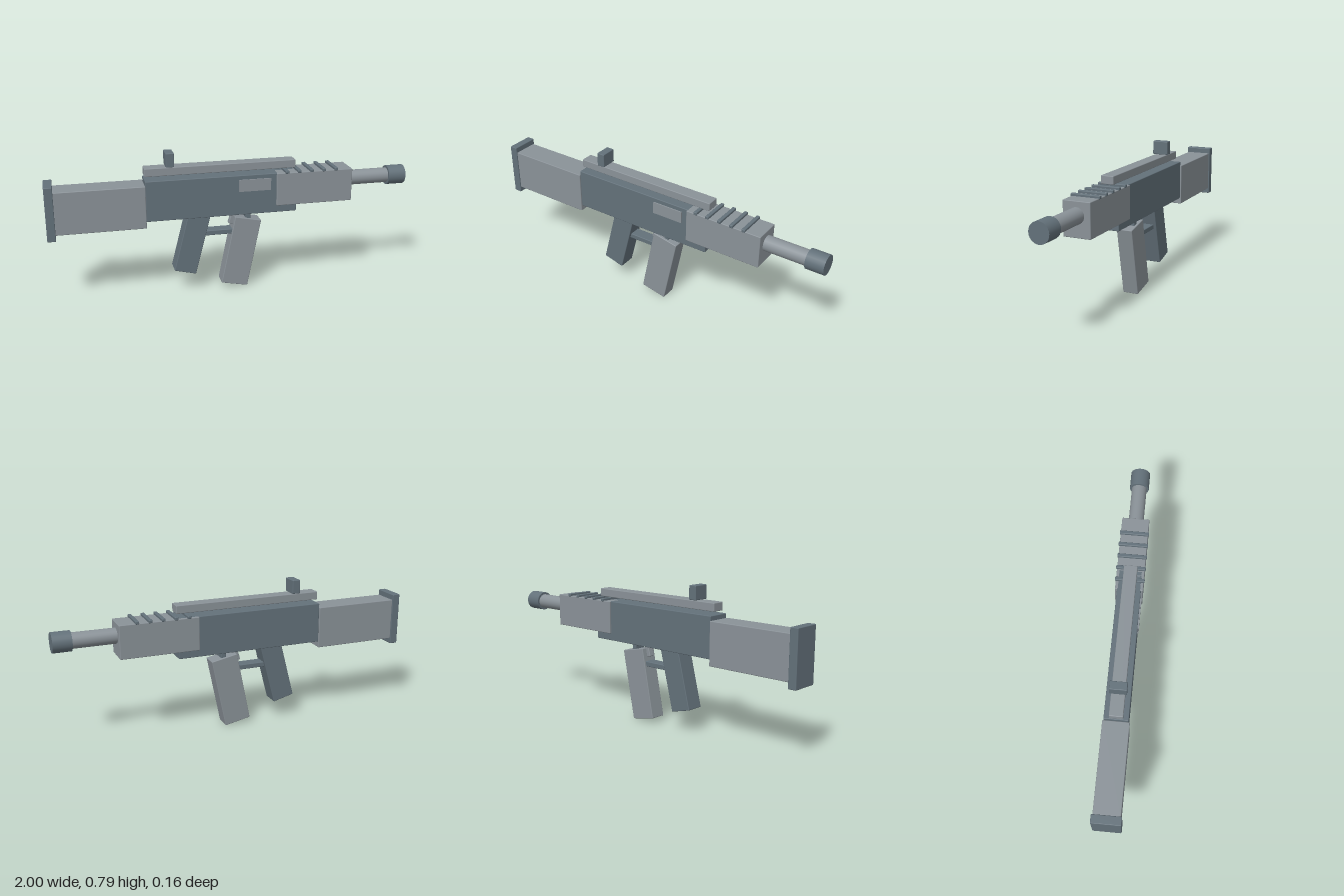
import * as THREE from 'three';
import { RoundedBoxGeometry } from 'three/addons/geometries/RoundedBoxGeometry.js';

export function createModel() {
  const model = new THREE.Group();
  const light = new THREE.MeshStandardMaterial({ color: 0x8a9298 });
  light.name = 'lightGrey';
  const dark = new THREE.MeshStandardMaterial({ color: 0x63717a });
  dark.name = 'darkGrey';

  function add(name, geometry, material, x, y, z = 0) {
    const mesh = new THREE.Mesh(geometry, material);
    mesh.name = name;
    mesh.position.set(x, y, z);
    model.add(mesh);
    return mesh;
  }

  // Softly bevelled block from its x and y limits and half depth
  function block(name, material, x0, x1, y0, y1, halfDepth) {
    const geometry = new RoundedBoxGeometry(x1 - x0, y1 - y0, halfDepth * 2, 2, 0.004);
    return add(name, geometry, material, (x0 + x1) / 2, (y0 + y1) / 2);
  }

  // Block leaning forward at the top
  function leaning(name, material, x, y, width, height, halfDepth, tilt) {
    const mesh = add(name, new RoundedBoxGeometry(width, height, halfDepth * 2, 2, 0.004), material, x, y);
    mesh.rotation.z = -tilt;
  }

  function rod(name, material, x0, x1, radius) {
    const geometry = new THREE.CylinderGeometry(radius, radius, x1 - x0, 24).rotateZ(-Math.PI / 2);
    add(name, geometry, material, (x0 + x1) / 2, 0.588);
  }

  // Stock and body
  block('buttPlate', dark, -1, -0.955, 0.372, 0.667, 0.076);
  block('stock', light, -0.957, -0.48, 0.403, 0.636, 0.07);
  block('receiver', dark, -0.48, 0.35, 0.437, 0.66, 0.064);
  block('handguard', light, 0.235, 0.668, 0.477, 0.66, 0.075);
  add('ejectionPort', new THREE.BoxGeometry(0.177, 0.066, 0.008), light, 0.114, 0.603, 0.067);

  // Top rail and sight
  block('topRail', light, -0.48, 0.35, 0.677, 0.722, 0.036);
  block('sight', dark, -0.366, -0.321, 0.724, 0.8, 0.045);
  for (let i = 0; i < 5; i++) {
    const x = 0.292 + i * 0.07;
    block('handguardRib', dark, x - 0.01, x + 0.01, 0.656, 0.673, 0.08);
  }

  // Barrel
  rod('barrel', light, 0.64, 0.91, 0.042);
  rod('muzzle', dark, 0.9, 1, 0.054);

  // Grip, magazine and trigger group
  leaning('grip', dark, -0.23, 0.295, 0.123, 0.36, 0.05, 0.25);
  leaning('magazine', light, 0.0445, 0.212, 0.15, 0.393, 0.045, 0.2);
  leaning('trigger', light, 0.003, 0.415, 0.025, 0.09, 0.016, 0.3);
  block('guardBar', dark, -0.18, 0.098, 0.32, 0.348, 0.033);
  block('guardPost', dark, 0.07, 0.098, 0.33, 0.445, 0.033);

  return model;
}
